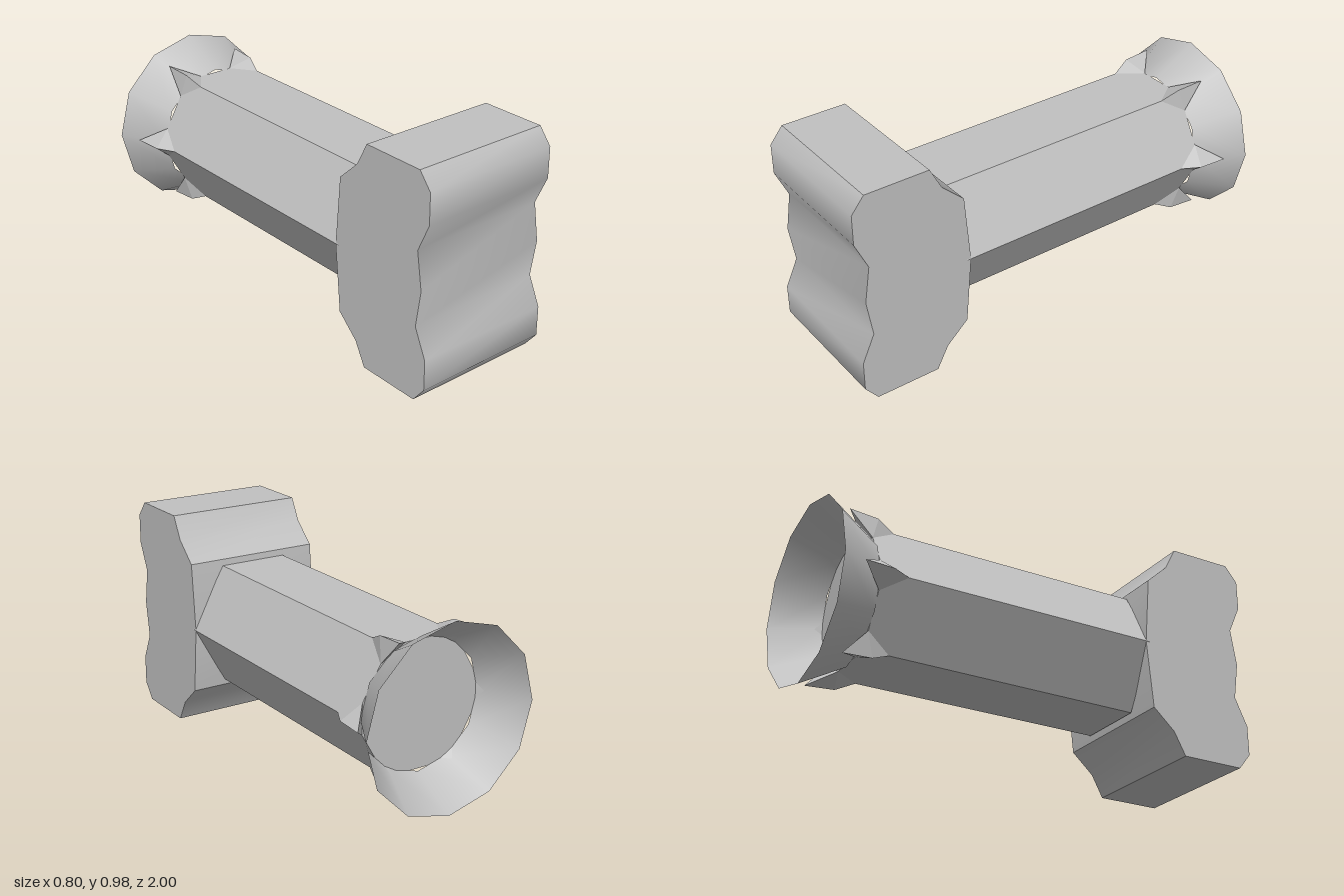
import * as THREE from 'three';
import { toCreasedNormals } from 'three/addons/utils/BufferGeometryUtils.js';

export function createModel() {
  const model = new THREE.Group();
  const metal = new THREE.MeshStandardMaterial({ color: 0xc0c0c0, side: THREE.DoubleSide });
  const MID = 0.49, R = 0.315;

  const add = (name, geometry, y = 0, z = 0) => {
    const mesh = new THREE.Mesh(geometry, metal);
    mesh.name = name;
    mesh.position.set(0, y, z);
    model.add(mesh);
  };

  // Striking head: a two-lobed side profile (z, height above middle), mirrored and extruded across
  const half = [[0.955, 0], [0.93, 0.163], [0.987, 0.287], [0.987, 0.42], [0.93, 0.49],
    [0.64, 0.49], [0.587, 0.39], [0.488, 0.3], [0.462, 0]];
  const lower = half.slice(1, -1).reverse().map(([z, h]) => [z, -h]);
  const profile = new THREE.Shape([...half, ...lower].map(([z, h]) => new THREE.Vector2(z, h)));
  const head = new THREE.ExtrudeGeometry(profile, { depth: 0.626, bevelEnabled: false });
  head.translate(0, 0, -0.313).rotateY(-Math.PI / 2);
  add('head', toCreasedNormals(head, 0.72), MID);

  // Hexagonal shaft, flat on top
  const shaft = new THREE.CylinderGeometry(R, R, 1.26, 6, 1, false, Math.PI / 2);
  shaft.rotateX(Math.PI / 2);
  add('shaft', toCreasedNormals(shaft, 0.5), MID, -0.15);

  // Hollow flared end
  const flare = new THREE.CylinderGeometry(0.285, 0.4, 0.2, 12, 1, true);
  flare.rotateX(Math.PI / 2);
  add('flare', flare, MID, -0.88);

  // Pointed ridges carrying each shaft corner out onto the flare
  const positions = [];
  for (let i = 0; i < 6; i++) {
    const a = i * Math.PI / 3;
    const point = (r, t, z) => [r * Math.cos(a) - t * Math.sin(a), r * Math.sin(a) + t * Math.cos(a), z];
    const start = point(R, 0, -0.67), crest = point(0.358, 0, -0.75), tip = point(0.367, 0, -0.88);
    const left = point(R - 0.0385, 0.0667, -0.78), right = point(R - 0.0385, -0.0667, -0.78);
    for (const face of [[start, left, crest], [start, crest, right],
      [crest, left, tip], [crest, tip, right], [tip, left, right]]) {
      positions.push(...face.flat());
    }
  }
  const ridges = new THREE.BufferGeometry();
  ridges.setAttribute('position', new THREE.Float32BufferAttribute(positions, 3));
  ridges.computeVertexNormals();
  add('cornerRidges', ridges, MID);

  // The whole piece is turned slightly
  model.rotation.y = -0.047;
  model.position.x = -0.046;
  const group = new THREE.Group();
  group.name = 'mallet';
  group.add(model);
  return group;
}
